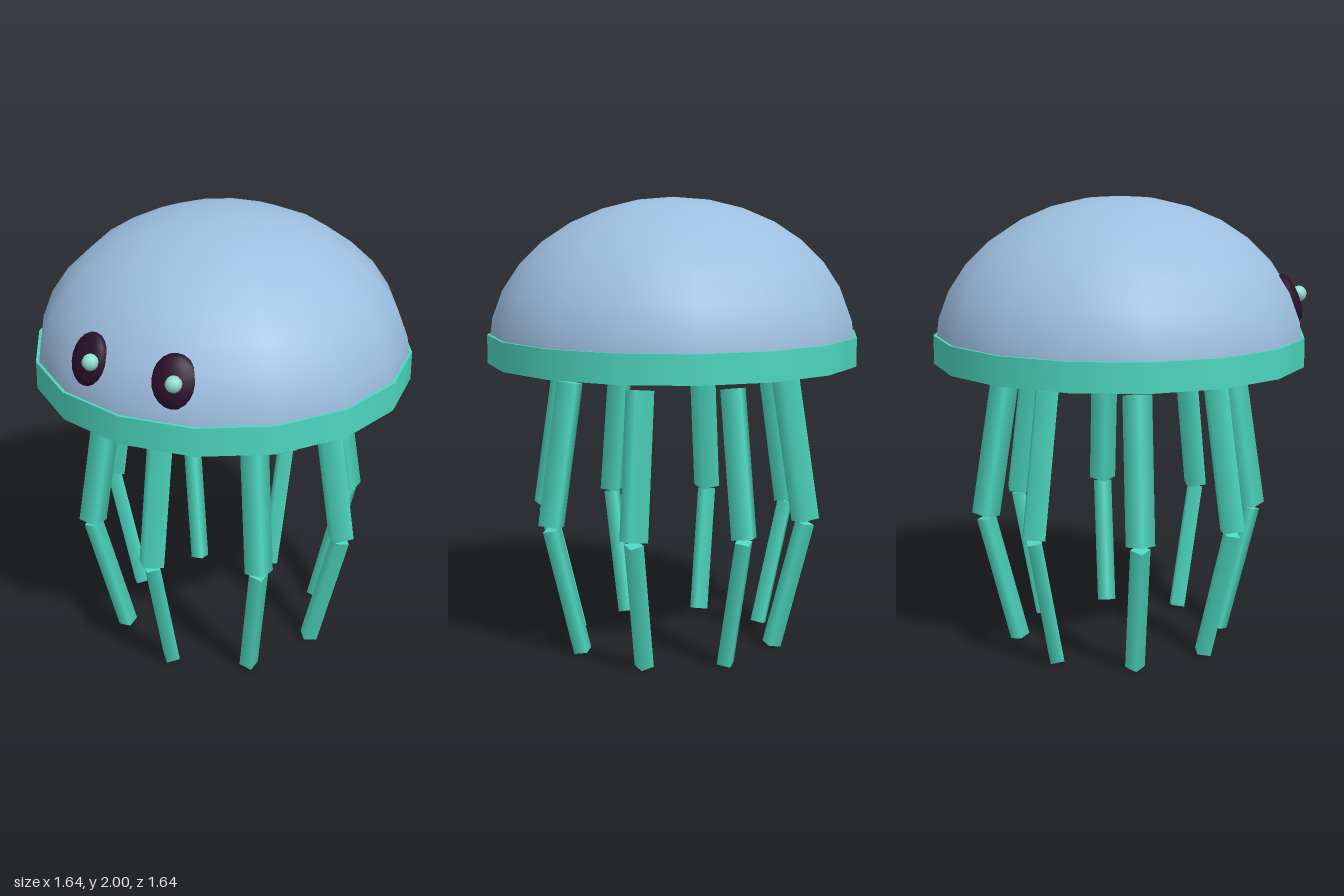
import * as THREE from 'three';

const mat = (name, color, side = THREE.FrontSide) => {
  const m = new THREE.MeshStandardMaterial({ color, side });
  m.name = name;
  return m;
};

export function createModel() {
  const blue = mat('bell blue', 0x9dbfe0);
  const teal = mat('tentacle teal', 0x4cd6be);
  const pale = mat('pale green', 0xa2d0ba);
  const dark = mat('dark plum', 0x2a0f2a);
  const glint = mat('eye glint', 0x90dcd0);

  const root = new THREE.Group();
  root.name = 'jellyfish';
  const add = (name, geometry, material, parent = root) => {
    const mesh = new THREE.Mesh(geometry, material);
    mesh.name = name;
    parent.add(mesh);
    return mesh;
  };

  // Bell: half ellipsoid with sixteen sides
  const bell = add('bell', new THREE.SphereGeometry(1, 16, 8, 0, Math.PI * 2, 0, Math.PI / 2), blue);
  bell.scale.set(0.812, 0.65, 0.812);
  bell.position.y = 1.35;

  // Band around the bell, with a flat underside and a thin lip
  const band = new THREE.Group();
  band.name = 'band';
  root.add(band);
  add('bandWall', new THREE.CylinderGeometry(0.82, 0.82, 0.125, 16, 1, true), teal, band).position.y = 1.3425;
  const underside = add('underside', new THREE.CircleGeometry(0.82, 16), teal, band);
  underside.rotation.x = Math.PI / 2;
  underside.position.y = 1.28;
  const lip = add('bandLip', new THREE.RingGeometry(0.807, 0.82, 16), teal, band);
  lip.rotation.x = -Math.PI / 2;
  lip.position.y = 1.405;
  const lining = [new THREE.Vector2(0.807, 1.405), new THREE.Vector2(0.785, 1.36)];
  add('bandLining', new THREE.LatheGeometry(lining, 16), blue, band);

  // Belly under the bell
  const belly = add('belly', new THREE.SphereGeometry(1, 8, 2, 0, Math.PI * 2, Math.PI / 2, Math.PI / 2), pale);
  belly.scale.set(0.26, 0.115, 0.26);
  belly.position.y = 1.28;

  // Eyes lie flat against the slope of the bell
  for (const side of [-1, 1]) {
    const eye = add(side > 0 ? 'leftEye' : 'rightEye', new THREE.SphereGeometry(1, 12, 10), dark);
    eye.scale.set(0.095, 0.112, 0.042);
    eye.position.set(side * 0.2, 1.565, 0.715);
    eye.rotation.set(-0.38, side * 0.26, 0, 'YXZ');
    const shine = add(side > 0 ? 'leftGlint' : 'rightGlint', new THREE.SphereGeometry(0.035, 10, 8), glint);
    shine.position.set(side * 0.195 + 0.032, 1.58, 0.765);
  }

  // Smile: lower half of a ring that dips below the band
  const mouth = add('mouth', new THREE.TorusGeometry(0.115, 0.021, 4, 16, Math.PI), dark);
  mouth.rotation.z = Math.PI;
  mouth.position.set(0, 1.36, 0.72);

  // Eight bent tentacles, each of two square rods
  const rod = (name, radius, a, b, parent) => {
    const d = new THREE.Vector2().subVectors(a, b);
    const mesh = add(name, new THREE.CylinderGeometry(radius, radius, d.length(), 4), teal, parent);
    mesh.position.set((a.x + b.x) / 2, (a.y + b.y) / 2, 0);
    mesh.rotation.z = -Math.atan2(d.x, d.y);
  };
  for (let i = 0; i < 8; i++) {
    const tentacle = new THREE.Group();
    tentacle.name = 'tentacle' + (i + 1);
    tentacle.rotation.y = i * Math.PI / 4;
    root.add(tentacle);
    rod('upperTentacle', 0.0625, new THREE.Vector2(0.51, 1.216), new THREE.Vector2(0.606, 0.592), tentacle);
    rod('lowerTentacle', 0.043, new THREE.Vector2(0.604, 0.578), new THREE.Vector2(0.46, 0.011), tentacle);
  }
  return root;
}
